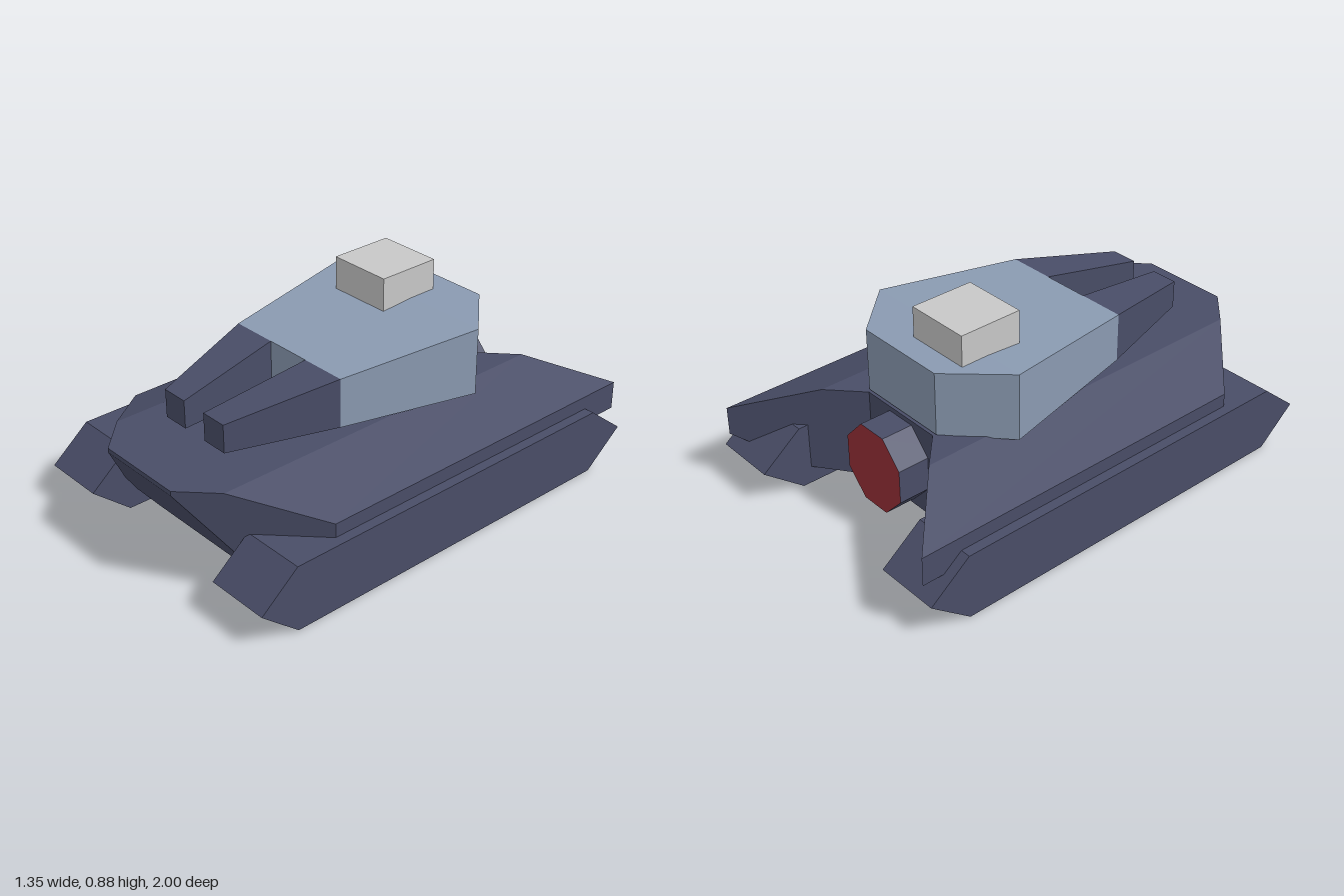
import * as THREE from 'three';

const paint = (name, color) => Object.assign(new THREE.MeshStandardMaterial({ color }), { name });

// Flat-faced geometry from convex polygons (counter-clockwise from outside).
function fromFaces(faces) {
  const pos = [];
  for (const f of faces)
    for (let i = 1; i < f.length - 1; i++) pos.push(...f[0], ...f[i], ...f[i + 1]);
  const g = new THREE.BufferGeometry();
  g.setAttribute('position', new THREE.Float32BufferAttribute(pos, 3));
  g.computeVertexNormals();
  return g;
}

// Faces joining ring a (counter-clockwise from its outer side) to ring b.
const sides = (a, b) => a.map((p, i) => {
  const j = (i + 1) % a.length;
  return [p, b[i], b[j], a[j]];
});
const prism = (a, b) => fromFaces([a, [...b].reverse(), ...sides(a, b)]);
const rect = (cx, w, y0, y1, z) => [
  [cx - w / 2, y0, z], [cx + w / 2, y0, z], [cx + w / 2, y1, z], [cx - w / 2, y1, z]];

// Hull: one cross-section, cut at both ends by slanted planes.
function hullGeometry() {
  const half = [[0.2, 0.06], [0.25, 0.06], [0.39, 0.078], [0.43, 0.1],
    [0.63, 0.22], [0.63, 0.345], [0.34, 0.46], [0.2, 0.46]];
  const flip = (ps) => ps.map(([x, y]) => [-x, y]).reverse();
  const front = ([x, y]) => [x, y, Math.min(1, 1 - (Math.abs(x) - 0.2) * 0.977, 1 - 0.66 * (0.44 - y))];
  const rear = ([x, y]) => [x, y, -0.6 - Math.max(0, Math.abs(x) - 0.2) * 0.93];
  const ring = [...half, ...flip(half)];
  const lowerHalf = [...half.slice(0, 4), [0.2, 0.44]];
  const cheek = [...half.slice(3), [0.2, 0.44]];
  const lip = [[-0.2, 0.44], [0.2, 0.44], [0.2, 0.46], [-0.2, 0.46]];
  const frontFaces = [[...lowerHalf, ...flip(lowerHalf)], cheek, flip(cheek), lip];
  const middle = [[-0.2, 0.06], [0.2, 0.06], [0.2, 0.46], [-0.2, 0.46]];
  const rearFaces = [middle, half, flip(half)];
  return fromFaces([
    ...frontFaces.map((f) => f.map(front)),
    ...rearFaces.map((f) => f.map(rear).reverse()),
    ...sides(ring.map(front), ring.map(rear)),
  ]);
}

export function createModel() {
  const group = new THREE.Group();
  const armour = paint('dark armour', 0x494d67);
  const turretBlue = paint('turret blue grey', 0x8a9ab1);
  const hatchGrey = paint('hatch grey', 0xc8c8c8);
  const engineRed = paint('engine red', 0x983038);
  const add = (name, geometry, material) => {
    const mesh = new THREE.Mesh(geometry, material);
    mesh.name = name;
    group.add(mesh);
    return mesh;
  };

  add('hull', hullGeometry(), armour);

  // Turret: tapered plan, ring starts at the wide corner so the roof folds there
  const plan = [[0.425, -0.36, 0.74, 0.447], [0.21, -0.59, 0.74, 0.465], [-0.21, -0.59, 0.74, 0.465],
    [-0.425, -0.36, 0.74, 0.447], [-0.31, 0.27, 0.7, 0.487], [0.31, 0.27, 0.7, 0.487]];
  add('turret', prism(plan.map(([x, z, top]) => [x, top, z]),
    plan.map(([x, z, , bottom]) => [x, bottom, z])), turretBlue);

  // Hatch box on the roof, off centre
  add('hatch', new THREE.BoxGeometry(0.29, 0.155, 0.285), hatchGrey).position.set(-0.1, 0.7975, -0.3425);

  // Paired tracks and gun barrels
  const track = [[0.97, 0.145], [0.8, 0], [-0.82, 0], [-1, 0.145], [-0.82, 0.285], [0.8, 0.285]];
  for (const s of [1, -1]) {
    const label = s > 0 ? 'left' : 'right';
    const at = (dx) => track.map(([z, y]) => [s * 0.532 + dx, y, z]);
    add(label + 'Track', prism(at(0.142), at(-0.142)), armour);
    add(label + 'Barrel', prism(rect(s * 0.12, 0.12, 0.503, 0.625, 0.735),
      rect(s * 0.207, 0.205, 0.487, 0.7, 0.27)), armour);
  }

  // Eight-sided engine with a red rear face
  const engine = new THREE.CylinderGeometry(0.1786, 0.1786, 0.24, 8, 1, false, Math.PI / 8)
    .rotateX(-Math.PI / 2).scale(1, 1.07, 1).toNonIndexed();
  engine.computeVertexNormals();
  add('engine', engine, [armour, engineRed, armour]).position.set(0, 0.263, -0.62);

  return group;
}
